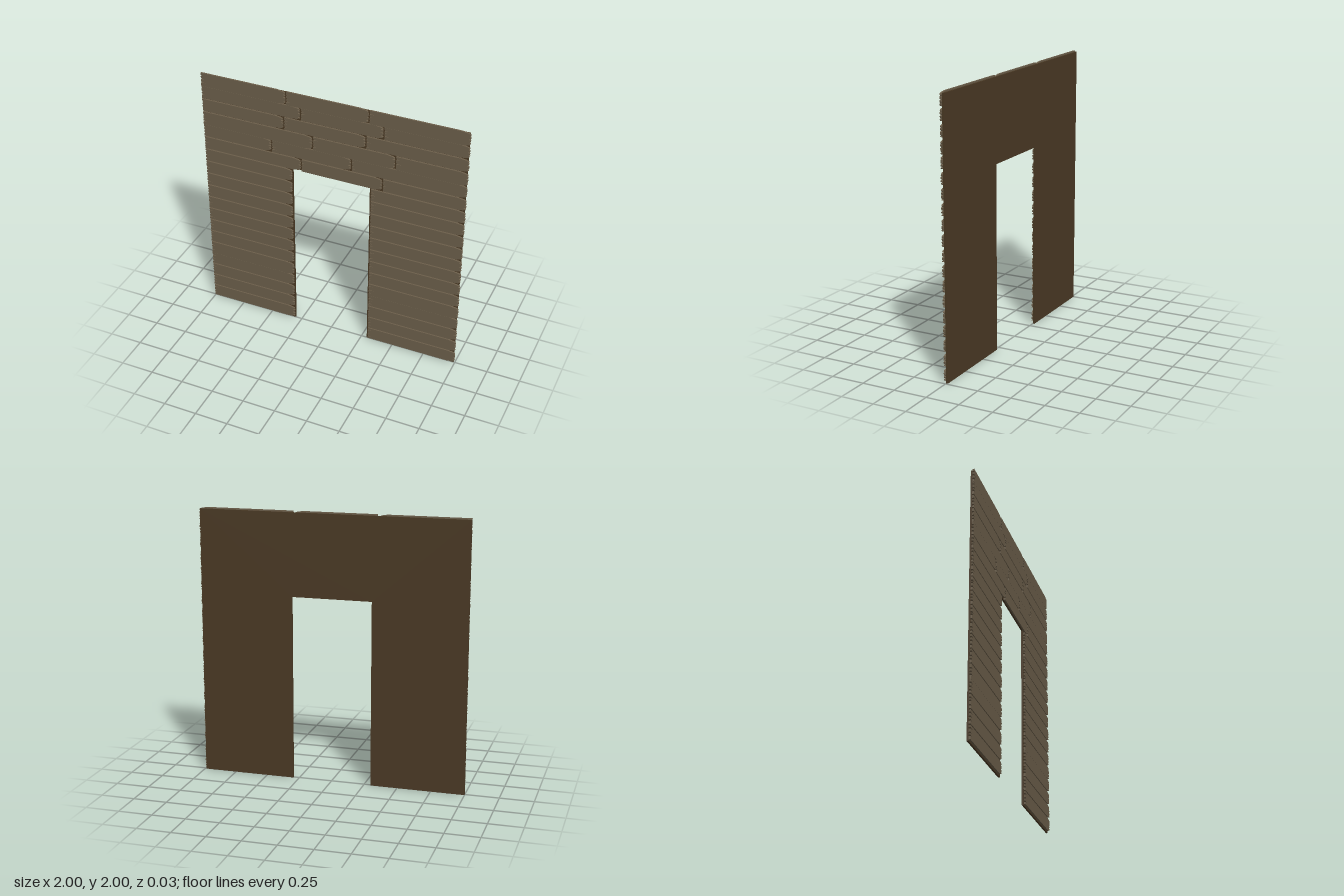
import * as THREE from 'three';

const plankMat = new THREE.MeshStandardMaterial({ color: 0x6b5e4a });
const backMat = new THREE.MeshStandardMaterial({ color: 0x4a3924 });

const ROWS = 19, ROW_H = 2 / ROWS, DOOR_ROWS = 13;
const DEPTH = 0.0125;

// Small seeded generator so the worn ends vary repeatably
function seeded(seed) {
  return () => {
    seed = (seed * 16807) % 2147483647;
    return seed / 2147483647;
  };
}

function extrude(shape, depth, z, mat, name) {
  const geo = new THREE.ExtrudeGeometry(shape, { depth, bevelEnabled: false });
  geo.translate(0, 0, z);
  const mesh = new THREE.Mesh(geo, mat);
  mesh.name = name;
  return mesh;
}

// Plank outline: split left end, worn and tapered right end
function plankShape(x0, x1, y0, y1, rnd) {
  const h = y1 - y0, s = new THREE.Shape();
  s.moveTo(x0, y0);
  s.lineTo(x1 - 0.06, y0);
  s.lineTo(x1 - 0.02, y0 + 0.006);
  s.lineTo(x1 - 0.004, y0 + 0.012);
  // right end, going up
  for (const f of [0.25, 0.5, 0.75]) {
    const y = y0 + h * f + (rnd() - 0.5) * 0.01;
    const d = 0.006 + rnd() * 0.014;
    s.lineTo(x1, y - 0.006);
    s.lineTo(x1 - d, y - 0.002);
    s.lineTo(x1 - d * 0.6, y + 0.003);
    s.lineTo(x1 - rnd() * 0.003, y + 0.005);
  }
  s.lineTo(x1 - 0.004, y1 - 0.012);
  s.lineTo(x1 - 0.02, y1 - 0.006);
  s.lineTo(x1 - 0.06, y1);
  s.lineTo(x0, y1);
  // left end, going down, with thin splits in the grain
  for (const f of [0.76, 0.5, 0.24]) {
    const y = y0 + h * f + (rnd() - 0.5) * 0.012;
    const d = 0.01 + rnd() * 0.03;
    s.lineTo(x0 + 0.002, y + 0.006);
    s.lineTo(x0 + d * 0.4, y + 0.003);
    s.lineTo(x0 + d, y);
    s.lineTo(x0 + d * 0.3, y - 0.003);
    s.lineTo(x0, y - 0.005);
  }
  s.closePath();
  return s;
}

export function createModel() {
  const group = new THREE.Group();
  group.name = 'plankWallWithDoorway';

  // Backing board with the doorway cut out
  const b = new THREE.Shape();
  [[-1, 0], [-0.3, 0], [-0.3, 1.378], [0.293, 1.378], [0.293, 0],
    [0.99, 0], [0.99, 1.99], [-1, 1.99]].forEach(([x, y], i) =>
    i ? b.lineTo(x, y) : b.moveTo(x, y));
  b.closePath();
  group.add(extrude(b, DEPTH, -DEPTH, backMat, 'backingBoard'));

  // Staggered joints of the rows above the doorway, bottom to top
  const joints = [[-0.235, 0.385], [-0.465, 0.15], [-0.145, 0.475],
    [-0.365, 0.255], [-0.235, 0.385], [-0.345, 0.275]];
  const tightRows = [4, 15, 18]; // rows that touch the one beneath

  const planks = new THREE.Group();
  planks.name = 'planks';
  for (let r = 0; r < ROWS; r++) {
    const rnd = seeded(7919 * (r + 1));
    const y0 = r * ROW_H + (tightRows.includes(r) ? 0.001 : 0.009);
    const y1 = (r + 1) * ROW_H;
    let spans;
    if (r < DOOR_ROWS) {
      spans = [[-1, -0.304], [0.305, 1]];
    } else {
      const [a, c] = joints[r - DOOR_ROWS];
      spans = [[-1, a], [a + 0.01, c], [c + 0.01, 1]];
    }
    for (const [x0, x1] of spans) {
      planks.add(extrude(plankShape(x0, x1, y0, y1, rnd), DEPTH, 0, plankMat, 'plank'));
    }
  }
  group.add(planks);
  return group;
}
